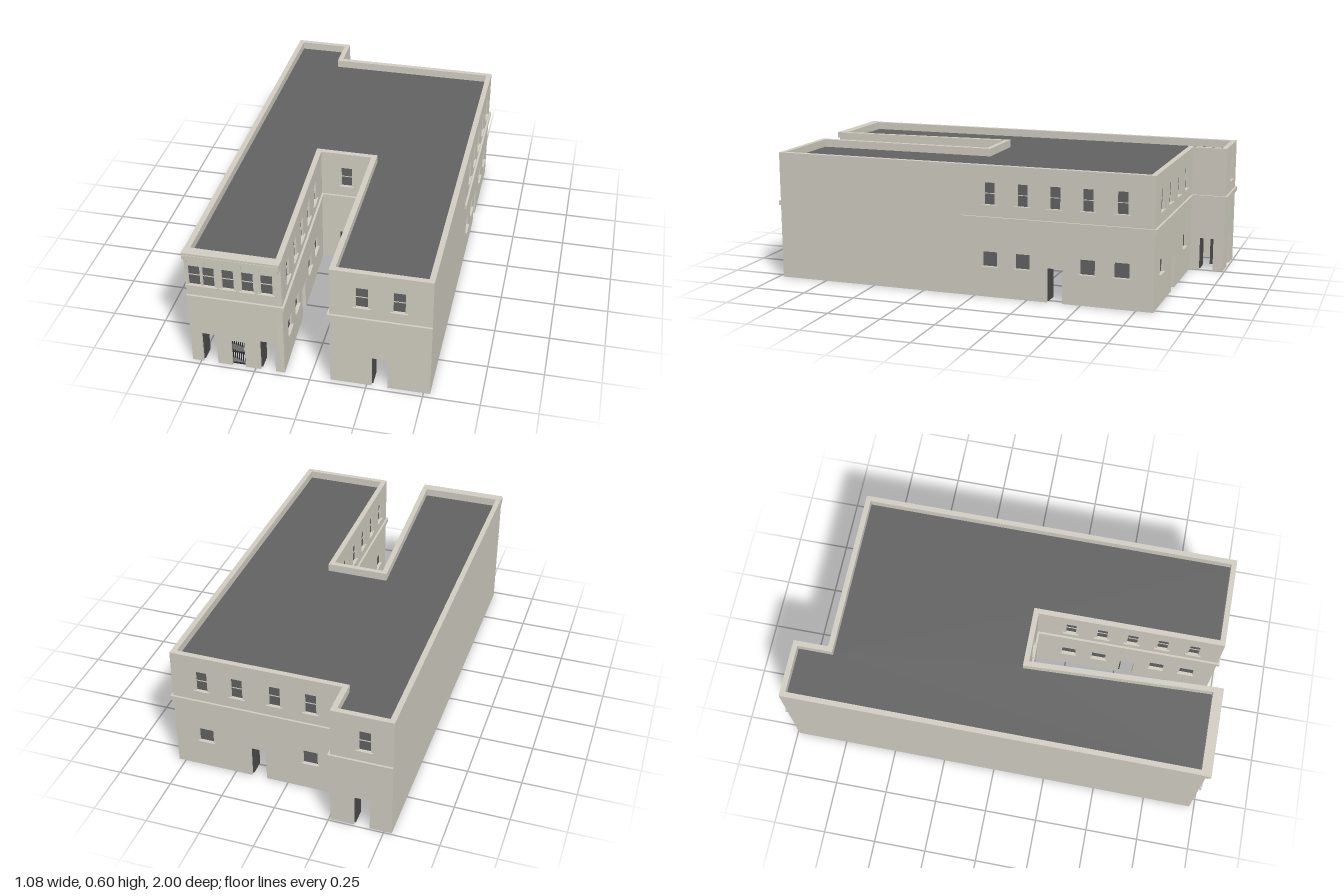
import * as THREE from 'three';

const mat = (name, color) => Object.assign(new THREE.MeshStandardMaterial({ color }), { name });

const T = 0.025;   // wall thickness
const H = 0.603;   // parapet height
const ROOF = 0.56; // roof deck height

export function createModel() {
  const stone = mat('stone', 0xd3cfc3);
  const slate = mat('slate', 0x636363);
  const doorGrey = mat('doorGrey', 0x4c4c4c);
  const iron = mat('iron', 0x2c2c2c);
  const model = new THREE.Group();
  model.name = 'building';

  function box(parent, name, material, x0, x1, y0, y1, z0, z1) {
    const m = new THREE.Mesh(new THREE.BoxGeometry(x1 - x0, y1 - y0, z1 - z0), material);
    m.position.set((x0 + x1) / 2, (y0 + y1) / 2, (z0 + z1) / 2);
    m.name = name;
    parent.add(m);
  }

  // Fillings, in wall space: x along the wall, z outward
  function sashWindow(g, u, w, y0, y1, sillWidth) {
    const a = u - w / 2, b = u + w / 2, m = (y0 + y1) / 2;
    box(g, 'windowGlass', slate, a, b, y0, y1, -0.015, -0.009);
    box(g, 'windowBacking', stone, a, b, y0, y1, -T, -0.015);
    if (y1 - y0 > 0.08) box(g, 'windowRail', stone, a, b, m - 0.0015, m + 0.0015, -0.009, -0.006);
    if (sillWidth) box(g, 'windowSill', stone, u - sillWidth / 2, u + sillWidth / 2, y0 - 0.008, y0, -0.004, 0.008);
  }
  // Door leaf standing open, swung inward on its left jamb
  function door(g, u, w, h) {
    const a = u - w / 2;
    box(g, 'doorLeaf', doorGrey, a, a + 0.006, 0.004, h - 0.003, -0.012 - w, -0.012);
  }
  function gate(g, u, w, h) {
    for (let i = 0; i < 7; i++) {
      const x = u - w / 2 + 0.003 + (w - 0.006) * i / 6;
      box(g, 'gateBar', iron, x - 0.0018, x + 0.0018, 0.003, h, -0.014, -0.01);
    }
    for (const y of [0.006, 0.07, h - 0.004])
      box(g, 'gateRail', iron, u - w / 2, u + w / 2, y - 0.002, y + 0.002, -0.015, -0.009);
  }

  // Leaves the foot of a wall open
  function openFoot(geo) {
    const p = geo.attributes.position, keep = [];
    for (let i = 0; i < p.count; i += 3)
      if (Math.max(p.getY(i), p.getY(i + 1), p.getY(i + 2)) > 1e-6) keep.push(i, i + 1, i + 2);
    geo.clearGroups();
    geo.setIndex(keep);
    return geo;
  }

  // Upright wall from p to q with openings placed by world x or z
  function wall(name, p, q, o) {
    const dx = q[0] - p[0], dz = q[1] - p[1], len = Math.hypot(dx, dz);
    const axis = Math.abs(dx) > Math.abs(dz) ? 0 : 1;
    const at = c => (c - p[axis]) / (q[axis] - p[axis]) * len;
    const g = new THREE.Group();
    g.name = name;
    g.position.set(p[0], 0, p[1]);
    g.rotation.y = Math.atan2(-dz, dx);
    const [e0, e1] = o.inner || [0, 0]; // run on at inside corners
    const shape = new THREE.Shape();
    shape.moveTo(-e0 * T, 0);
    const doors = (o.doors || []).map(d => ({ u: at(d[0]), w: d[1], h: d[2], gate: d[3] })).sort((a, b) => a.u - b.u);
    for (const d of doors) {
      const a = d.u - d.w / 2, b = d.u + d.w / 2;
      shape.lineTo(a, 0);
      shape.lineTo(a, d.h);
      shape.lineTo(b, d.h);
      shape.lineTo(b, 0);
      (d.gate ? gate : door)(g, d.u, d.w, d.h);
    }
    shape.lineTo(len + e1 * T, 0);
    shape.lineTo(len + e1 * T, H);
    shape.lineTo(-e0 * T, H);
    shape.closePath();
    const hole = (c, w, y0, y1, sill) => {
      const u = at(c), a = u - w / 2, b = u + w / 2;
      shape.holes.push(new THREE.Path([[a, y0], [a, y1], [b, y1], [b, y0]].map(v => new THREE.Vector2(...v))));
      sashWindow(g, u, w, y0, y1, sill);
    };
    for (const c of o.upper || []) hole(c, axis ? 0.048 : 0.052, 0.426, 0.526, o.noSills ? 0 : 0.075);
    for (const c of o.lower || []) hole(c, 0.068, 0.142, 0.21, 0.08);
    for (const [a, b] of o.sills || []) box(g, 'windowSill', stone, at(a), at(b), 0.418, 0.426, -0.004, 0.008);
    const geo = new THREE.ExtrudeGeometry(shape, { depth: T, bevelEnabled: false });
    geo.translate(0, 0, -T);
    const m = new THREE.Mesh(openFoot(geo), stone);
    m.name = name + 'Masonry';
    g.add(m);
    // String course between the storeys
    if (o.band) {
      const start = o.bandFrom === undefined ? -o.band[0] * 0.01 : at(o.bandFrom);
      box(g, 'stringCourse', stone, start, len + o.band[1] * 0.01, 0.349, 0.371, -0.005, 0.01);
    }
    model.add(g);
  }

  // Plan corners, counter-clockwise seen from above
  const A = [-0.54, 0.977], B = [-0.117, 0.977], C = [-0.155, 0.1], D = [0.085, 0.1], E = [0.088, 0.977];
  const F = [0.529, 0.977], G = [0.532, -0.828], I = [-0.258, -0.828], J = [-0.258, -0.992], K = [-0.535, -0.992];
  const yardUpper = [0.85, 0.7, 0.555, 0.41, 0.26], yardLower = [0.85, 0.7, 0.41, 0.26];

  wall('leftWingFront', A, B, {
    upper: [-0.5, -0.437, -0.352, -0.266, -0.182], noSills: true,
    sills: [[-0.54, -0.4], [-0.39, -0.315], [-0.305, -0.232], [-0.22, -0.145]],
    doors: [[-0.456, 0.068, 0.16], [-0.326, 0.06, 0.14, true], [-0.192, 0.068, 0.16]],
    band: [0, 1],
  });
  wall('courtyardLeftWall', B, C, { upper: yardUpper, lower: yardLower, doors: [[0.555, 0.07, 0.155]], band: [1, 0], inner: [0, 1] });
  wall('courtyardBackWall', C, D, { upper: [-0.033], doors: [[-0.033, 0.072, 0.155]], band: [0, 0], inner: [1, 1] });
  wall('courtyardRightWall', D, E, { upper: yardUpper, lower: yardLower, doors: [[0.555, 0.07, 0.155]], band: [0, 1], inner: [1, 0] });
  wall('rightWingFront', E, F, { upper: [0.228, 0.387], doors: [[0.307, 0.072, 0.155]], band: [1, 0] });
  wall('rightWall', F, G, {
    upper: [-0.075, -0.23, -0.38, -0.53, -0.685], lower: [-0.075, -0.23, -0.53, -0.685],
    doors: [[-0.38, 0.072, 0.157]], band: [0, 1], bandFrom: 0.06,
  });
  wall('backWall', G, I, {
    upper: [0.39, 0.225, 0.05, -0.115], lower: [0.385, -0.11],
    doors: [[0.137, 0.072, 0.157]], band: [1, 0], inner: [0, 1],
  });
  wall('backWingSide', I, J, { doors: [[-0.907, 0.068, 0.157]], band: [0, 1], inner: [1, 0] });
  wall('backWingEnd', J, K, { upper: [-0.41], doors: [[-0.4, 0.072, 0.157]], band: [1, 0] });
  wall('leftWall', K, A, { inner: [0, -1] });

  // Roof deck over a ceiling, tucked just inside the wall faces
  const s = 0.012;
  const inset = [[A, 1, -1], [B, -1, -1], [C, -1, -1], [D, 1, -1], [E, 1, -1], [F, -1, -1], [G, -1, 1], [I, -1, 1], [J, -1, 1], [K, 1, 1]];
  const deck = new THREE.Shape(inset.map(([p, sx, sz]) => new THREE.Vector2(p[0] + sx * s, -(p[1] + sz * s))));
  for (const [name, material, y] of [['roofDeck', slate, ROOF], ['ceiling', stone, ROOF - 0.006]]) {
    const geo = new THREE.ExtrudeGeometry(deck, { depth: 0.006, bevelEnabled: false });
    geo.rotateX(-Math.PI / 2);
    const slab = new THREE.Mesh(geo, material);
    slab.name = name;
    slab.position.y = y;
    model.add(slab);
  }

  // Cornice with brackets on the left wing
  const cornice = new THREE.Group();
  cornice.name = 'cornice';
  box(cornice, 'corniceCap', stone, -0.542, -0.118, 0.594, 0.604, 0.953, 0.998);
  box(cornice, 'corniceFascia', stone, -0.541, -0.118, 0.575, 0.594, 0.965, 1.0);
  box(cornice, 'corniceMoulding', stone, -0.541, -0.118, 0.564, 0.575, 0.965, 0.989);
  for (let i = 0; i < 6; i++) {
    const x = -0.53 + i * 0.0795;
    box(cornice, 'corniceBracket', stone, x - 0.005, x + 0.005, 0.55, 0.575, 0.965, 0.993);
  }
  model.add(cornice);
  return model;
}
